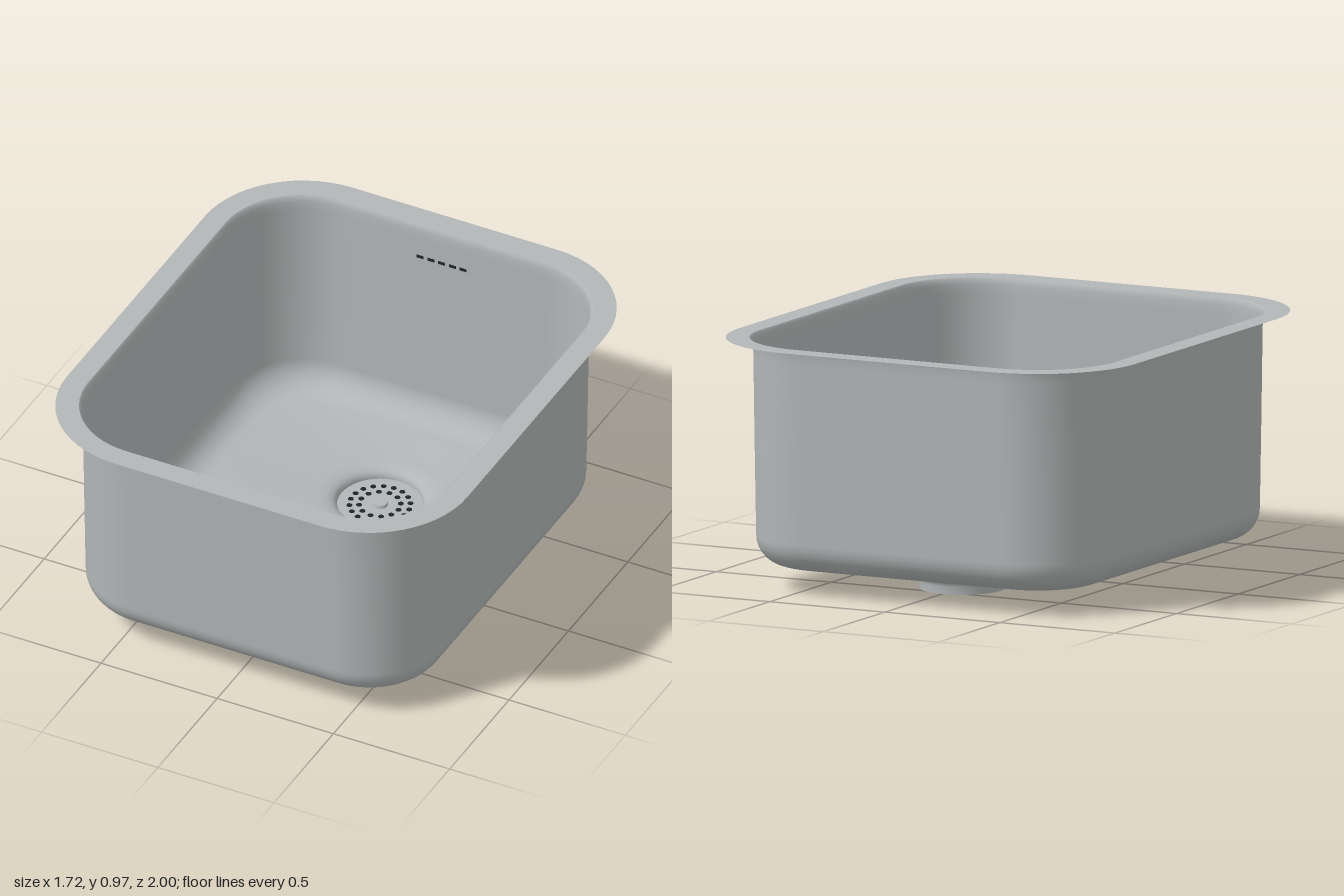
import * as THREE from 'three';

const ARC = 14, SIDE = 14;
const DRAIN_Z = -0.37;

// Rounded rectangle outline at height y, as a closed loop of points
function roundedLoop(hx, hz, r, y) {
  const corners = [[1, 1], [-1, 1], [-1, -1], [1, -1]];
  const arcs = corners.map(([sx, sz], k) => Array.from({ length: ARC + 1 }, (_, j) => {
    const a = (k + j / ARC) * Math.PI / 2;
    return new THREE.Vector3(sx * (hx - r) + r * Math.cos(a), y, sz * (hz - r) + r * Math.sin(a));
  }));
  const loop = [];
  arcs.forEach((arc, k) => {
    loop.push(...arc);
    const next = arcs[(k + 1) % 4][0];
    for (let j = 1; j < SIDE; j++) loop.push(arc[ARC].clone().lerp(next, j / SIDE));
  });
  return loop;
}

// Skin a series of closed loops, facing inward and up
function loft(loops) {
  const n = loops[0].length, pos = [], index = [];
  loops.forEach(l => l.forEach(p => pos.push(p.x, p.y, p.z)));
  for (let i = 0; i < loops.length - 1; i++) {
    for (let j = 0; j < n; j++) {
      const a = i * n + j, b = i * n + (j + 1) % n;
      index.push(a, a + n, b, b, a + n, b + n);
    }
  }
  const g = new THREE.BufferGeometry();
  g.setAttribute('position', new THREE.Float32BufferAttribute(pos, 3));
  g.setIndex(index);
  g.computeVertexNormals();
  return g;
}

export function createModel() {
  const sink = new THREE.Group();
  sink.name = 'sink';
  const steel = new THREE.MeshStandardMaterial({ color: 0xb2b6b6, side: THREE.DoubleSide });
  steel.name = 'brushed steel';
  const dark = new THREE.MeshStandardMaterial({ color: 0x1c2626 });
  dark.name = 'dark opening';

  const add = (name, geometry, material, x = 0, y = 0, z = 0, parent = sink) => {
    const mesh = new THREE.Mesh(geometry, material);
    mesh.name = name;
    mesh.position.set(x, y, z);
    parent.add(mesh);
    return mesh;
  };

  // Flat mounting rim
  const opening = roundedLoop(0.77, 0.908, 0.33, 0.97);
  add('rim', loft([roundedLoop(0.86, 1, 0.42, 0.97), opening]), steel);

  // Basin: rolled lip, tapered walls, rounded foot and floor falling to the drain
  const loops = [
    opening,
    roundedLoop(0.763, 0.901, 0.325, 0.962),
    roundedLoop(0.759, 0.897, 0.32, 0.945),
    roundedLoop(0.756, 0.894, 0.318, 0.91),
    roundedLoop(0.751, 0.888, 0.312, 0.55),
  ];
  for (let i = 0; i <= 8; i++) {
    const a = i / 8 * Math.PI / 2, inset = 0.115 * (1 - Math.cos(a));
    loops.push(roundedLoop(0.745 - inset, 0.882 - inset, 0.305 - inset, 0.205 - 0.115 * Math.sin(a)));
  }
  const foot = loops[loops.length - 1];
  const ring = foot.map(p => {
    const a = Math.atan2(p.z - DRAIN_Z, p.x);
    return new THREE.Vector3(0.26 * Math.cos(a), 0.07, DRAIN_Z + 0.26 * Math.sin(a));
  });
  for (const t of [0.08, 0.35, 0.7, 1]) loops.push(foot.map((p, i) => p.clone().lerp(ring[i], t)));
  add('basin', loft(loops), steel);

  // Drain: flared neck, strainer plate, centre knob and dark outlet
  const drain = new THREE.Group();
  drain.name = 'drain';
  drain.position.z = DRAIN_Z;
  sink.add(drain);
  const neck = [[0.165, 0], [0.165, 0.03], [0.17, 0.043], [0.18, 0.054], [0.2, 0.063], [0.23, 0.068], [0.26, 0.07]];
  add('drainNeck', new THREE.LatheGeometry(neck.map(p => new THREE.Vector2(...p)), 64), steel, 0, 0, 0, drain);
  add('strainer', new THREE.CylinderGeometry(0.165, 0.165, 0.008, 64), steel, 0, 0.02, 0, drain);
  add('strainerKnob', new THREE.CylinderGeometry(0.028, 0.031, 0.012, 32), steel, 0, 0.03, 0, drain);
  add('outlet', new THREE.CylinderGeometry(0.164, 0.164, 0.004, 64), dark, 0, 0.002, 0, drain);

  // Strainer holes in two rings
  const hole = new THREE.CylinderGeometry(0.0115, 0.0115, 0.002, 10);
  for (const [count, radius] of [[18, 0.117], [12, 0.08]]) {
    for (let i = 0; i < count; i++) {
      const a = i / count * Math.PI * 2;
      add('strainerHole', hole, dark, radius * Math.sin(a), 0.0245, radius * Math.cos(a), drain);
    }
  }

  // Overflow slots on the inside of the back wall
  const slot = new THREE.PlaneGeometry(0.03, 0.014);
  for (let i = -2; i <= 2; i++) add('overflowSlot', slot, dark, i * 0.046, 0.83, -0.889);

  return sink;
}
